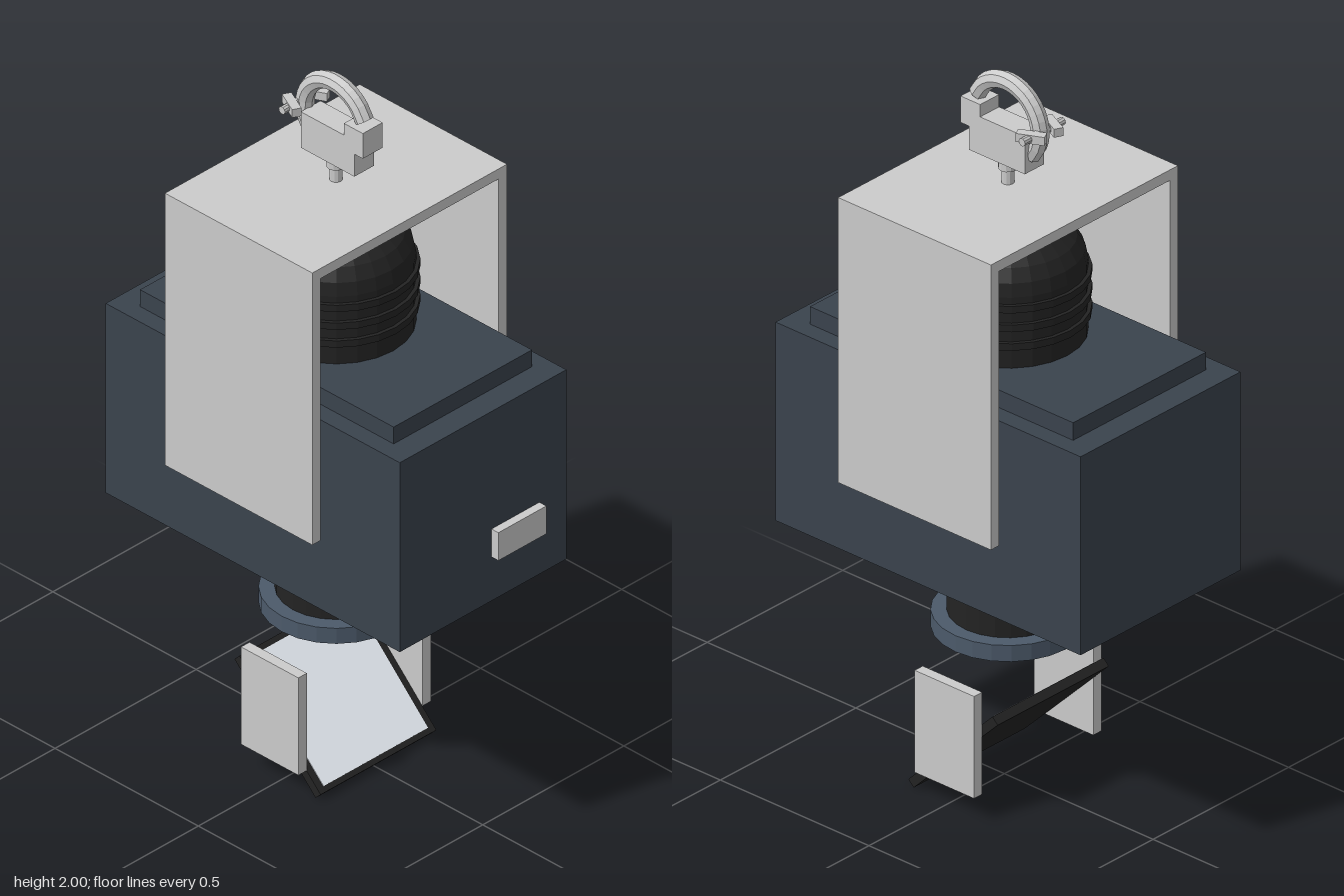
import * as THREE from 'three';

const mat = (color) => new THREE.MeshStandardMaterial({ color, flatShading: true });

export function createModel() {
  const model = new THREE.Group();
  const unit = new THREE.Group(); // everything is centred on the lens axis
  unit.name = 'movingMirrorLight';
  unit.position.z = -0.012;
  model.add(unit);

  const grey = mat(0xcccccc);
  const navy = mat(0x3a434d);
  const black = mat(0x232323);
  const slate = mat(0x4c5a6a);
  const silver = mat(0xeef4fc);

  const add = (name, geometry, material, x = 0, y = 0, z = 0, parent = unit) => {
    const mesh = new THREE.Mesh(geometry, material);
    mesh.name = name;
    mesh.position.set(x, y, z);
    parent.add(mesh);
    return mesh;
  };
  // Box given by its centre x, bottom and top y, centre z, width and depth
  const block = (name, material, x, y0, y1, z, w, d) =>
    add(name, new THREE.BoxGeometry(w, y1 - y0, d), material, x, (y0 + y1) / 2, z);
  // Upright cylinder between two heights
  const drum = (name, material, r, y0, y1, sides = 24) =>
    add(name, new THREE.CylinderGeometry(r, r, y1 - y0, sides), material, 0, (y0 + y1) / 2, 0);
  const lathe = (name, material, points) =>
    add(name, new THREE.LatheGeometry(points.map(([r, y]) => new THREE.Vector2(r, y)), 24), material);

  // Main housing, lid and front plate
  block('housing', navy, 0, 0.656, 1.22, 0, 0.59, 1.026);
  block('housingLid', navy, 0, 1.22, 1.27, 0, 0.49, 0.885);
  block('controlPlate', grey, 0.115, 0.787, 0.87, 0.524, 0.17, 0.026);

  // Lamp cover: cylinder with a flattened dome and cooling ribs
  const dome = [[0.2, 1.26]];
  for (let i = 0; i <= 6; i++) {
    const a = (i / 6) * Math.PI / 2;
    dome.push([0.2 * Math.cos(a), 1.47 + 0.14 * Math.sin(a)]);
  }
  lathe('lampCover', black, dome);
  for (const y of [1.335, 1.388, 1.441]) drum('coolingRib', black, 0.21, y - 0.01, y + 0.01);

  // Lens barrel under the housing
  lathe('lensBarrel', black, [
    [0, 0.46], [0.153, 0.46], [0.153, 0.575], [0.176, 0.6], [0.176, 0.638], [0.03, 0.657], [0, 0.657],
  ]);
  lathe('lensFlange', slate, [[0.193, 0.432], [0.193, 0.478], [0.13, 0.478], [0.13, 0.432], [0.193, 0.432]]);
  drum('lensTube', grey, 0.082, 0.38, 0.465);

  // Hanging bracket with pivots, and the mirror side plates
  block('bracketTop', grey, 0, 1.66, 1.69, 0, 0.69, 0.514);
  for (const s of [-1, 1]) {
    block('bracketArm', grey, s * 0.33, 0.88, 1.66, 0, 0.03, 0.514);
    const pivot = add('bracketPivot', new THREE.CylinderGeometry(0.04, 0.04, 0.04, 16), grey, s * 0.305, 0.94, 0);
    pivot.rotation.z = Math.PI / 2;
    block('mirrorSidePlate', grey, s * 0.22, 0.07, 0.36, 0, 0.03, 0.2);
  }

  // Tilted mirror, facing up and forward
  const mirror = new THREE.Group();
  mirror.name = 'mirror';
  mirror.position.set(0, 0.153, -0.002);
  mirror.rotation.x = Math.PI / 4;
  unit.add(mirror);
  add('mirrorBacking', new THREE.BoxGeometry(0.41, 0.025, 0.4), black, 0, 0, 0, mirror);
  add('mirrorGlass', new THREE.BoxGeometry(0.37, 0.004, 0.37), silver, 0, 0.0125, 0, mirror);

  // Hook clamp: stud, body, jaw and curved hook
  drum('clampStud', grey, 0.017, 1.68, 1.735, 12);
  drum('clampCollar', grey, 0.025, 1.73, 1.76, 12);
  block('clampBody', grey, 0, 1.758, 1.865, 0.005, 0.07, 0.187);
  block('clampJaw', grey, 0, 1.825, 1.9, 0.095, 0.07, 0.066);
  const arc = [];
  for (let i = 0; i <= 8; i++) {
    const a = THREE.MathUtils.degToRad(-42 + i * 25);
    arc.push(new THREE.Vector3(0, 1.868 + 0.108 * Math.sin(a), -0.108 * Math.cos(a)));
  }
  const curve = new THREE.CatmullRomCurve3(arc);
  add('clampHook', new THREE.TubeGeometry(curve, 20, 0.024, 8), grey);
  for (const [p, next] of [[arc[0], arc[1]], [arc[8], arc[7]]]) {
    const cap = add('hookEnd', new THREE.CircleGeometry(0.024, 8), grey, p.x, p.y, p.z);
    cap.lookAt(p.clone().multiplyScalar(2).sub(next)); // faces away from the hook
  }

  // Wing bolt at the back of the hook
  const bar = add('wingBoltBar', new THREE.CylinderGeometry(0.011, 0.011, 0.15, 10), grey, 0, 1.875, -0.115);
  bar.rotation.z = Math.PI / 2;
  for (const s of [-1, 1]) {
    const wing = add('wing', new THREE.BoxGeometry(0.025, 0.024, 0.075), grey, s * 0.04, 1.875, -0.115);
    wing.rotation.y = s * 0.45;
  }
  return model;
}
